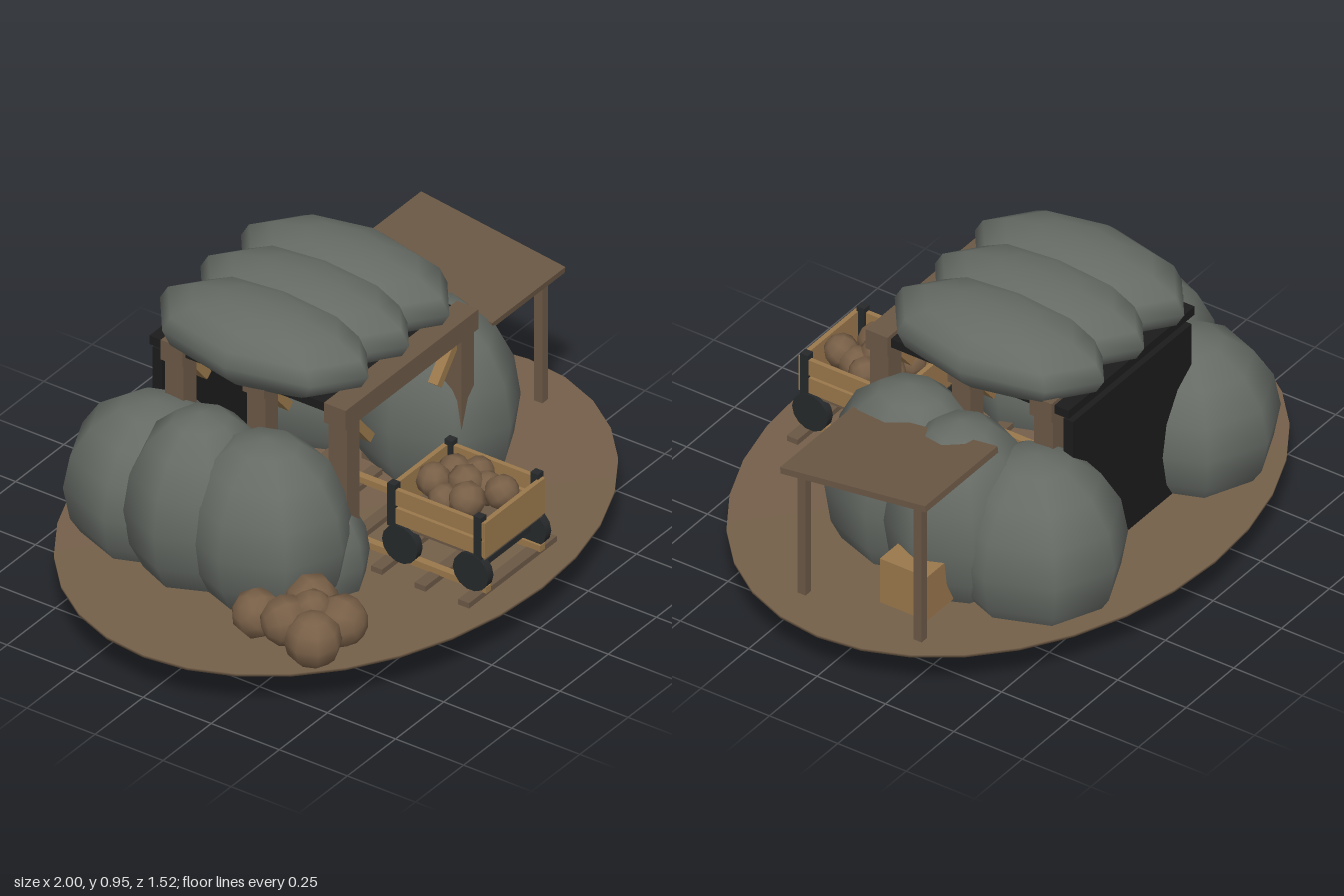
import * as THREE from 'three';

const mat = (name, color) => {
  const m = new THREE.MeshStandardMaterial({ color });
  m.name = name;
  return m;
};

export function createModel() {
  const model = new THREE.Group();
  model.name = 'mineEntrance';
  const earth = mat('earth', 0x75604a);
  const stone = mat('greyStone', 0x666b65);
  const timber = mat('darkTimber', 0x6b5845);
  const plank = mat('lightPlank', 0x9a784c);
  const ore = mat('brownOre', 0x785f47);
  const dark = mat('tunnelBlack', 0x1c1c1c);
  const iron = mat('iron', 0x26292b);

  const group = (name) => {
    const g = new THREE.Group();
    g.name = name;
    model.add(g);
    return g;
  };
  const add = (parent, name, geometry, material, x, y, z) => {
    const mesh = new THREE.Mesh(geometry, material);
    mesh.name = name;
    mesh.position.set(x, y, z);
    parent.add(mesh);
    return mesh;
  };
  const box = (parent, name, material, w, h, d, x, y, z) =>
    add(parent, name, new THREE.BoxGeometry(w, h, d), material, x, y, z);

  // Oval ground slab with softly shaded rim
  const rim = [[0, 0.145], [1, 0.145], [1, 0.155], [0, 0.155]].map(p => new THREE.Vector2(...p));
  add(model, 'ground', new THREE.LatheGeometry(rim, 32), earth, 0, 0, 0).scale.z = 0.758;

  // Boulders: centre, then radii
  const boulderGeo = new THREE.SphereGeometry(1, 8, 8);
  const boulders = group('boulders');
  [
    [0.41, 0.355, 0.07, 0.24, 0.352, 0.28],
    [0.475, 0.37, -0.16, 0.245, 0.335, 0.23],
    [0.40, 0.315, -0.38, 0.27, 0.31, 0.29],
    [-0.46, 0.36, 0.07, 0.25, 0.31, 0.28],
    [-0.475, 0.365, -0.16, 0.245, 0.32, 0.23],
    [-0.40, 0.315, -0.38, 0.27, 0.29, 0.29],
    [-0.34, 0.24, 0.17, 0.15, 0.21, 0.17],
  ].forEach(([x, y, z, a, b, c]) =>
    add(boulders, 'sideBoulder', boulderGeo, stone, x, y, z).scale.set(a, b, c));
  for (const x of [-0.21, 0, 0.21])
    add(boulders, 'roofBoulder', boulderGeo, stone, x, 0.828, -0.115).scale.set(0.208, 0.128, 0.383);

  // Tunnel lining
  const tunnel = group('tunnel');
  box(tunnel, 'backWall', dark, 0.62, 0.57, 0.035, 0, 0.435, -0.437);
  box(tunnel, 'ceiling', dark, 0.66, 0.03, 0.65, 0, 0.757, -0.127);

  // Three timber portal frames
  for (const z of [0.24, -0.06, -0.36]) {
    const frame = group('portalFrame');
    box(frame, 'lintel', timber, 0.69, 0.07, 0.08, 0, 0.749, z);
    for (const s of [-1, 1]) {
      box(frame, 'post', timber, 0.066, 0.57, 0.068, s * 0.297, 0.435, z);
      const brace = box(frame, 'brace', plank, 0.03, 0.16, 0.035, s * 0.225, 0.65, z);
      brace.rotation.z = -s * 0.7;
    }
  }

  // Track running into the tunnel
  const track = group('track');
  for (let i = 0; i < 7; i++)
    box(track, 'sleeper', timber, 0.455, 0.02, 0.04, 0, 0.164, 0.63 - i * 0.16);
  for (const s of [-1, 1])
    box(track, 'rail', plank, 0.025, 0.022, 1.06, s * 0.14, 0.183, 0.13);

  // Mine cart
  const cart = group('cart');
  box(cart, 'floor', timber, 0.3, 0.025, 0.35, 0, 0.3, 0.478);
  const wheelGeo = new THREE.CylinderGeometry(0.065, 0.065, 0.028, 14).rotateZ(Math.PI / 2);
  for (const s of [-1, 1]) {
    for (const y of [0.33, 0.395])
      box(cart, 'sidePlank', plank, 0.016, 0.055, 0.35, s * 0.15, y, 0.478);
    box(cart, 'endBoard', plank, 0.31, 0.125, 0.016, 0, 0.36, 0.478 + s * 0.172);
    box(cart, 'axle', iron, 0.28, 0.02, 0.02, 0, 0.237, 0.48 + s * 0.13);
    for (const t of [-1, 1]) {
      box(cart, 'cornerPost', iron, 0.028, 0.15, 0.028, s * 0.148, 0.365, 0.475 + t * 0.158);
      add(cart, 'wheel', wheelGeo, iron, s * 0.15, 0.237, 0.48 + t * 0.13);
    }
  }

  // Ore lumps in the cart and in a heap beside the entrance
  const lumpGeo = new THREE.SphereGeometry(1, 8, 6);
  const lumps = (parent, name, list) => list.forEach(([x, y, z, r], i) => {
    const lump = add(parent, name, lumpGeo, ore, x, y, z);
    lump.scale.setScalar(r);
    lump.rotation.set(i * 0.9, i * 1.7, i * 0.5);
  });
  lumps(cart, 'cartOre', [
    [-0.03, 0.41, 0.38, 0.055], [0.05, 0.41, 0.4, 0.052], [0.09, 0.405, 0.46, 0.05],
    [0.01, 0.415, 0.47, 0.058], [-0.06, 0.41, 0.525, 0.058], [0.04, 0.405, 0.58, 0.055],
    [-0.06, 0.38, 0.44, 0.05], [0.05, 0.39, 0.52, 0.055],
  ]);
  lumps(group('oreHeap'), 'heapOre', [
    [-0.725, 0.225, 0.43, 0.09], [-0.605, 0.235, 0.445, 0.085], [-0.71, 0.245, 0.32, 0.08],
    [-0.58, 0.25, 0.32, 0.085], [-0.69, 0.215, 0.2, 0.08], [-0.65, 0.27, 0.37, 0.065],
  ]);

  // Lean-to shelter with crate
  const shelter = group('shelter');
  const slope = Math.atan2(0.072, 0.53);
  box(shelter, 'shelterRoof', timber, 0.38, 0.022, 0.535, 0.7, 0.646, -0.054).rotation.x = slope;
  box(shelter, 'frontShelterPost', timber, 0.03, 0.46, 0.03, 0.838, 0.382, 0.16);
  box(shelter, 'rearShelterPost', timber, 0.03, 0.51, 0.03, 0.838, 0.407, -0.264);
  box(shelter, 'crate', plank, 0.17, 0.16, 0.172, 0.685, 0.25, -0.155);

  return model;
}
